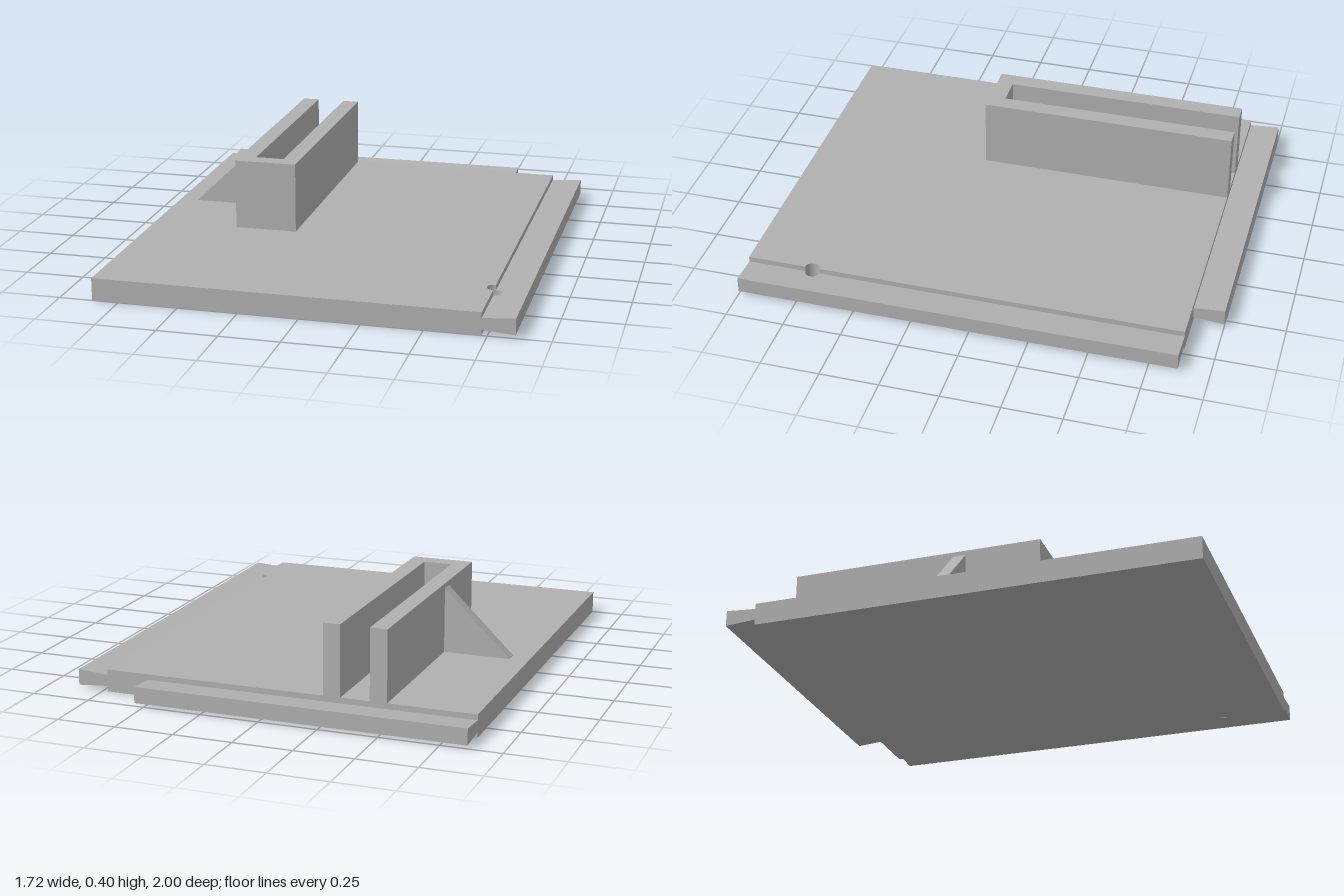
import * as THREE from 'three';

export function createModel() {
  const model = new THREE.Group();
  const grey = new THREE.MeshStandardMaterial({ color: 0xb0b0b0 });
  grey.name = 'plain grey';

  const left = -0.86, right = 0.86, front = 1, back = -0.87;
  const edge = 0.727, top = 0.095, middle = 0.0475;
  const holeZ = 0.717, holeR = 0.031;

  const add = (name, geometry) => {
    const mesh = new THREE.Mesh(geometry, grey);
    mesh.name = name;
    model.add(mesh);
    return mesh;
  };

  // Plan outline given as [x, z], raised from y0 to y1
  const raise = (shape, y0, y1) => {
    const g = new THREE.ExtrudeGeometry(shape, { depth: y1 - y0, bevelEnabled: false, curveSegments: 16 });
    return g.rotateX(-Math.PI / 2).translate(0, y0, 0);
  };
  const outline = (points) => new THREE.Shape(points.map(([x, z]) => new THREE.Vector2(x, -z)));

  // Half of the round hole, from the front side to the back side
  const notch = (side) => Array.from({ length: 17 }, (_, i) => {
    const a = (i / 16) * Math.PI;
    return [edge + side * holeR * Math.sin(a), holeZ + holeR * Math.cos(a)];
  });

  // Flared tongue: thickness grows with distance from the plate
  const flare = (geometry, distance) => {
    const p = geometry.attributes.position;
    for (let i = 0; i < p.count; i++) {
      const half = 0.024 + 0.01 * distance(p.getX(i), p.getZ(i));
      p.setY(i, middle + Math.sign(p.getY(i) - middle) * half);
    }
    geometry.computeVertexNormals();
    return geometry;
  };

  // Base plate with half of the hole cut in its side
  add('basePlate', raise(outline([
    [left, front], [edge, front], ...notch(-1), [edge, back], [left, back],
  ]), 0, top));

  // Side tongue with the other half of the hole
  const side = outline([
    [edge, front], [right, front], [right, back], [edge, back], ...notch(1).reverse(),
  ]);
  add('sideTongue', flare(raise(side, 0, top), (x) => (x - edge) / (right - edge)));

  // Back tongue, shorter than the plate
  const rear = outline([[left, back], [0.54, back], [0.54, -1], [left, -1]]);
  add('backTongue', flare(raise(rear, 0, top), (x, z) => (back - z) / (back + 1)));

  // Upright channel, open at the top and back
  add('channelWall', raise(outline([
    [-0.492, back], [-0.492, 0.235], [-0.225, 0.235], [-0.225, back],
    [-0.297, back], [-0.297, 0.163], [-0.42, 0.163], [-0.42, back],
  ]), top, 0.395));

  // Triangular brace beside the channel
  const brace = new THREE.Shape([
    new THREE.Vector2(-0.78, top), new THREE.Vector2(-0.492, top), new THREE.Vector2(-0.492, 0.375),
  ]);
  add('brace', new THREE.ExtrudeGeometry(brace, { depth: 0.055, bevelEnabled: false }))
    .position.z = -0.15;

  return model;
}
